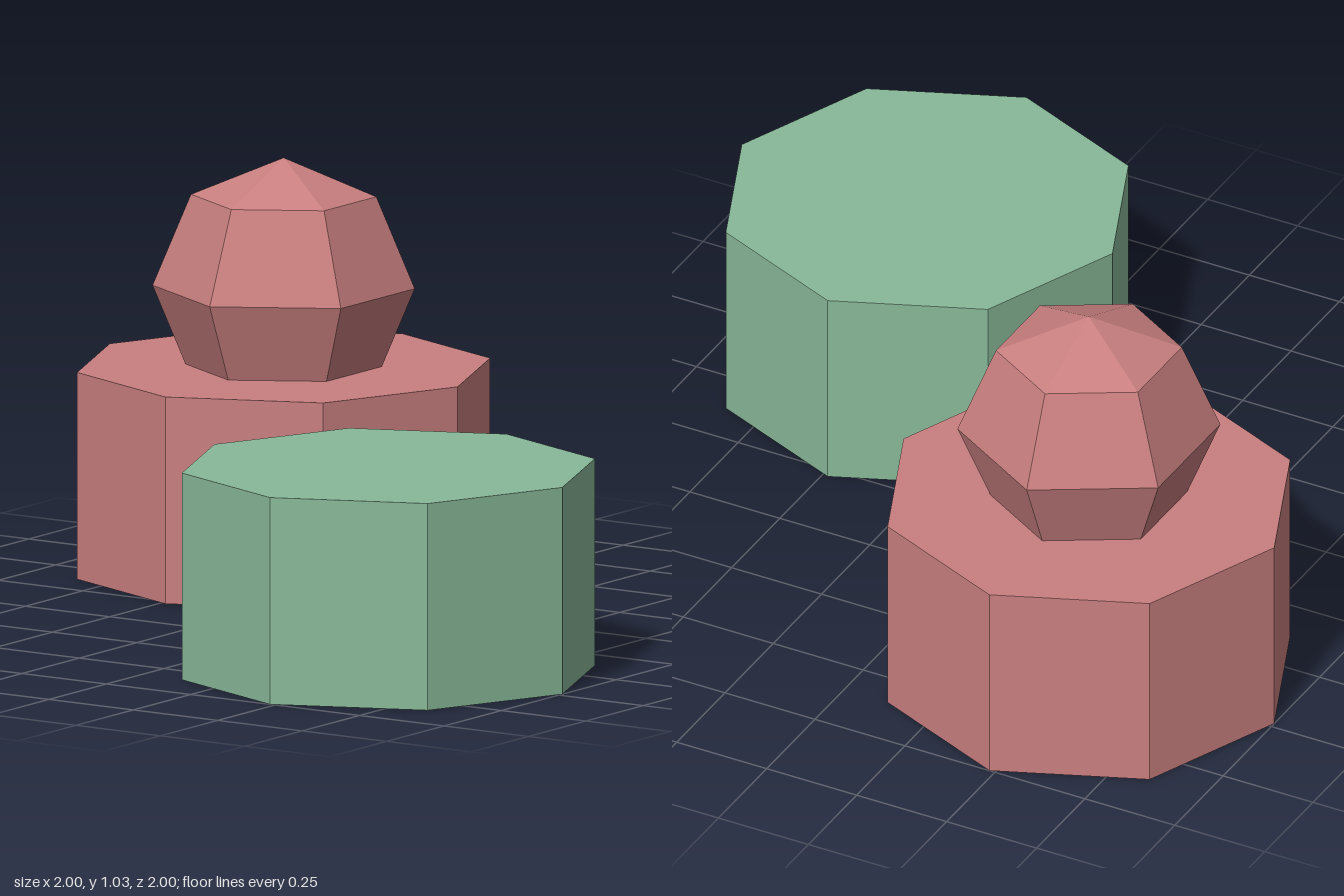
import * as THREE from 'three';

const OFFSET = 0.485; // distance of each base from the centre lines
const BASE_RADIUS = 0.515;
const BASE_HEIGHT = 0.515;

export function createModel() {
  const model = new THREE.Group();
  const red = new THREE.MeshStandardMaterial({ color: 0xc97f7f, flatShading: true });
  red.name = 'dusty red';
  const green = new THREE.MeshStandardMaterial({ color: 0x88b898, flatShading: true });
  green.name = 'soft green';

  const add = (name, geometry, material, x, y, z) => {
    const mesh = new THREE.Mesh(geometry, material);
    mesh.name = name;
    mesh.position.set(x, y, z);
    model.add(mesh);
  };

  // Two octagonal drums standing diagonally, corner towards the front
  const drum = new THREE.CylinderGeometry(BASE_RADIUS, BASE_RADIUS, BASE_HEIGHT, 8);
  add('redBase', drum, red, -OFFSET, BASE_HEIGHT / 2, -OFFSET);
  add('greenBase', drum, green, OFFSET, BASE_HEIGHT / 2, OFFSET);

  // Six-sided knob sunk into the top of the red drum
  const knob = new THREE.SphereGeometry(0.322, 6, 4).rotateY(Math.PI / 2);
  add('redKnob', knob, red, -OFFSET, 0.71, -OFFSET);

  return model;
}
